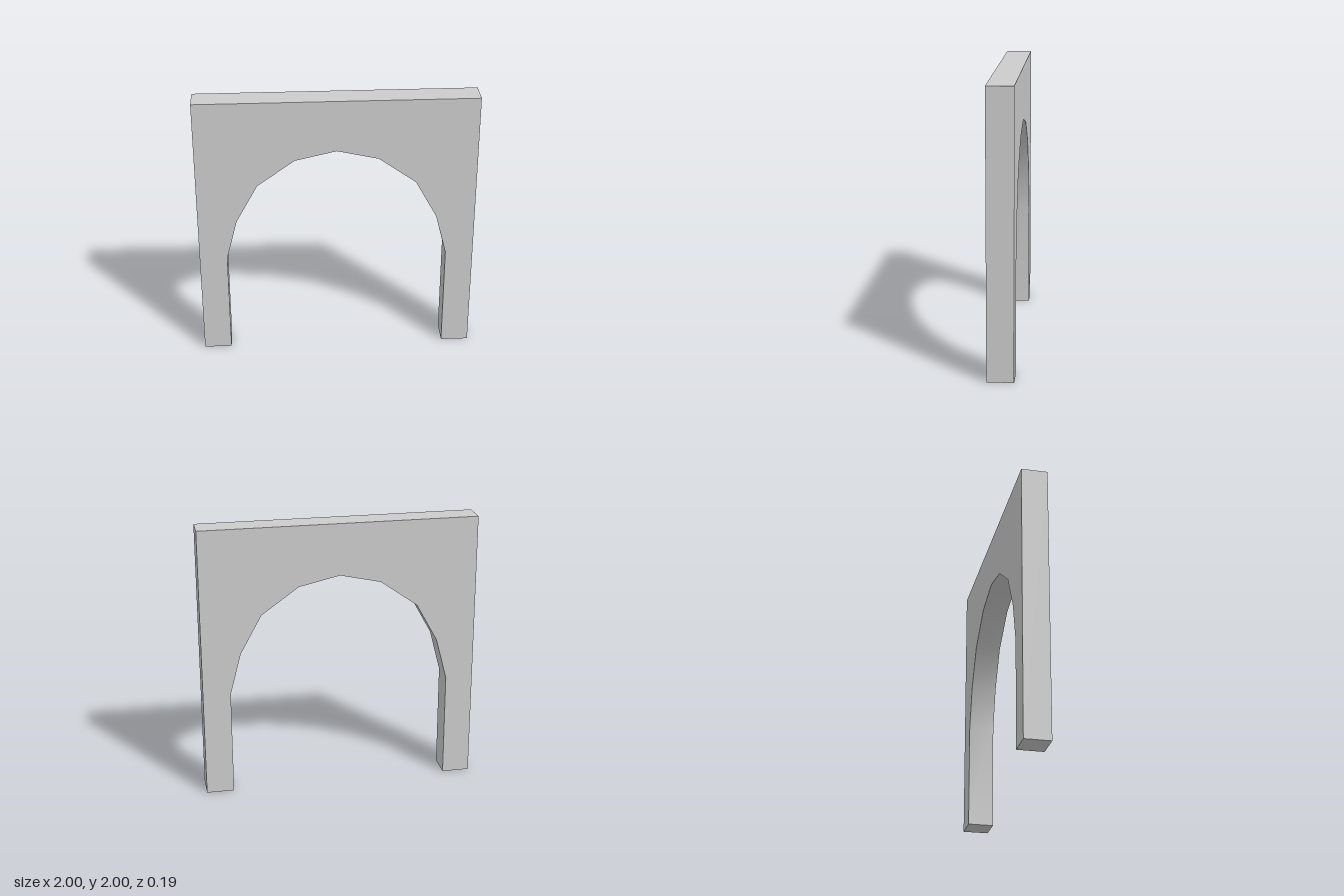
import * as THREE from 'three';
import { toCreasedNormals } from 'three/addons/utils/BufferGeometryUtils.js';

const DEPTH = 0.187;

// Right half of the arch opening, from the foot up to just below the crown
const HALF_OPENING = [[0.8, 0], [0.8, 0.775], [0.72, 1.08], [0.565, 1.362], [0.296, 1.555]];
const CROWN = [0, 1.622];

export function createModel() {
  const group = new THREE.Group();
  group.name = 'archway';

  // Wall outline with the opening cut up from the ground
  const mirrored = HALF_OPENING.map(([x, y]) => [-x, y]).reverse();
  const outline = [[1, 0], [1, 2], [-1, 2], [-1, 0], ...mirrored.reverse(), CROWN, ...HALF_OPENING.slice().reverse()];
  const shape = new THREE.Shape(outline.map(([x, y]) => new THREE.Vector2(x, y)));

  const solid = new THREE.ExtrudeGeometry(shape, { depth: DEPTH, bevelEnabled: false });
  solid.translate(0, 0, -DEPTH / 2);

  // Smooth soffit, sharp outer edges
  const geometry = toCreasedNormals(solid, THREE.MathUtils.degToRad(35));
  const wall = new THREE.Mesh(geometry, new THREE.MeshStandardMaterial({ color: 0xcccccc }));
  wall.name = 'archWall';
  group.add(wall);
  return group;
}
